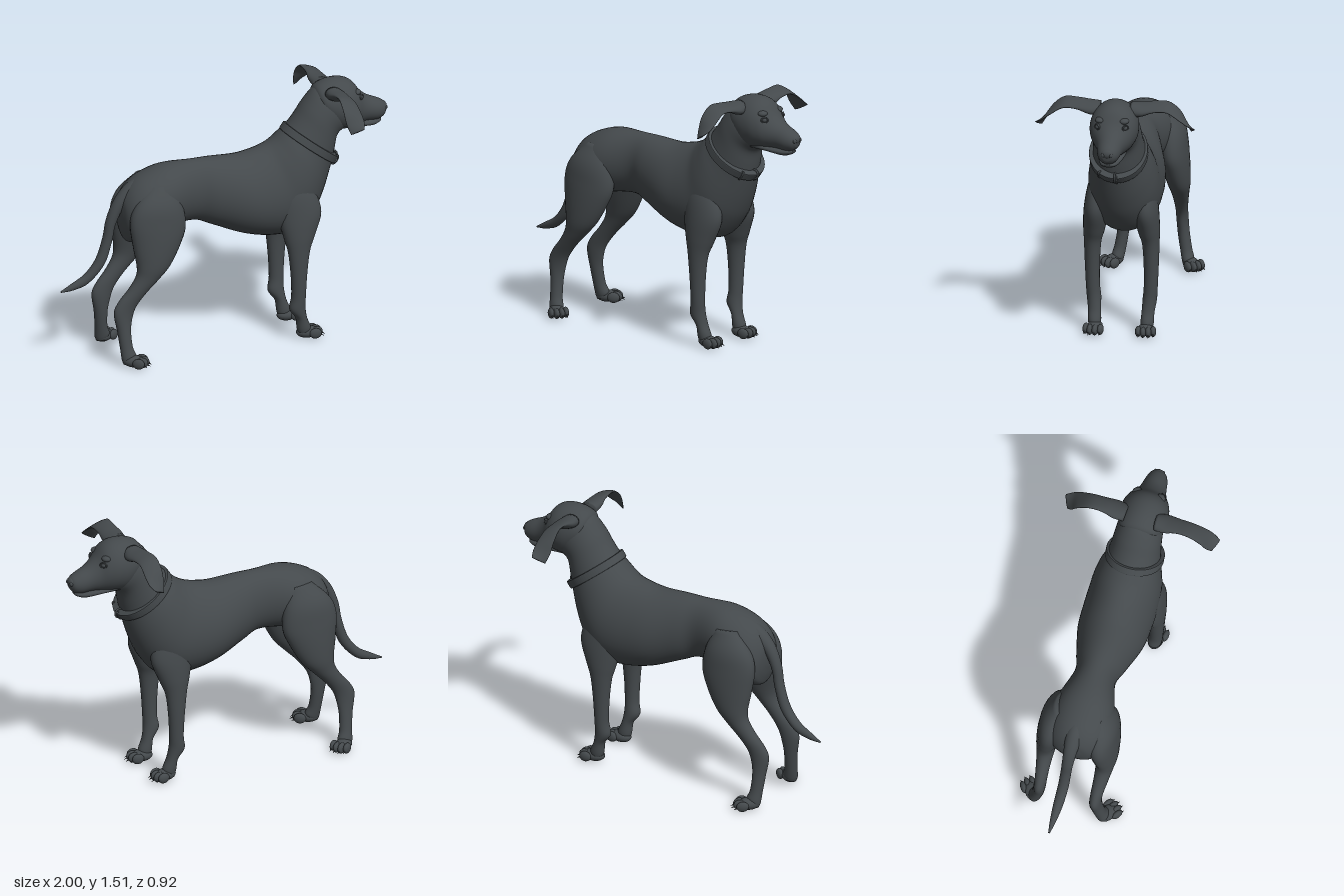
import * as THREE from 'three';

const coat = new THREE.MeshStandardMaterial({ color: 0x44494c });
coat.name = 'charcoal coat';

function mesh(name, geometry, parent) {
  const m = new THREE.Mesh(geometry, coat);
  m.name = name;
  parent.add(m);
  return m;
}

// Smooth skin through cross-sections. Each row is
// [upper x,y,z, lower x,y,z, half width, extra width low down].
function loft(rows, steps = 5, sides = 28) {
  const V = THREE.Vector3;
  const curve = (f) => new THREE.CatmullRomCurve3(rows.map(f), false, 'catmullrom', 0.5);
  const upper = curve((r) => new V(r[0], r[1], r[2]));
  const lower = curve((r) => new V(r[3], r[4], r[5]));
  const width = curve((r) => new V(r[6], r[7] || 0, 0));
  const count = (rows.length - 1) * steps;
  const mid = (u) => upper.getPoint(u).add(lower.getPoint(u)).multiplyScalar(0.5);
  const pos = [], index = [];
  for (let i = 0; i <= count; i++) {
    const u = i / count, c = mid(u);
    const up = upper.getPoint(u).sub(c);
    const along = mid(Math.min(1, u + 0.004)).sub(mid(Math.max(0, u - 0.004)));
    const side = along.cross(up).normalize();
    const w = width.getPoint(u);
    for (let j = 0; j < sides; j++) {
      const a = (j / sides) * Math.PI * 2, k = Math.cos(a);
      const p = c.clone().addScaledVector(up, k)
        .addScaledVector(side, w.x * Math.sin(a) * (1 - w.y * k));
      pos.push(p.x, p.y, p.z);
    }
  }
  for (let i = 0; i < count; i++) {
    for (let j = 0; j < sides; j++) {
      const a = i * sides + j, b = i * sides + (j + 1) % sides;
      index.push(a, b, a + sides, b, b + sides, a + sides);
    }
  }
  // end caps
  const c0 = mid(0), c1 = mid(1), n = pos.length / 3, last = count * sides;
  pos.push(c0.x, c0.y, c0.z, c1.x, c1.y, c1.z);
  for (let j = 0; j < sides; j++) {
    const k = (j + 1) % sides;
    index.push(n, k, j, n + 1, last + j, last + k);
  }
  const g = new THREE.BufferGeometry();
  g.setAttribute('position', new THREE.Float32BufferAttribute(pos, 3));
  g.setIndex(index);
  g.computeVertexNormals();
  return g;
}

// Rows lying in a side plane: [ux,uy, lx,ly, half width, z offset, low width]
const flat = (rows, zc, s = 1) => rows.map(([a, b, c, d, w, z = 0, e = 0]) =>
  [a, b, zc + s * z, c, d, zc + s * z, w, e]);

function ball(name, parent, p, r) {
  const m = mesh(name, new THREE.SphereGeometry(1, 18, 12), parent);
  m.position.set(...p);
  m.scale.set(...r);
  return m;
}

// Paw pointing along +x, with four toes and claws
function paw(name, parent, x, z, yaw, size) {
  const g = new THREE.Group();
  g.name = name;
  ball('pawPad', g, [-0.02, 0.035, 0], [0.065, 0.035, 0.045]);
  [-0.043, -0.015, 0.015, 0.043].forEach((tz) => {
    const tx = 0.04 - Math.abs(tz) * 0.5;
    ball('toe', g, [tx, 0.034, tz], [0.036, 0.031, 0.018]);
    const claw = mesh('claw', new THREE.ConeGeometry(0.007, 0.03, 8), g);
    claw.position.set(tx + 0.038, 0.022, tz);
    claw.rotation.z = -2.0;
  });
  g.position.set(x, 0, z);
  g.rotation.y = yaw;
  g.scale.set(size, 1, size);
  parent.add(g);
}

export function createModel() {
  const dog = new THREE.Group();
  dog.name = 'dog';

  // Trunk sweeping up into the neck
  mesh('bodyAndNeck', loft(flat([
    [-0.645, 0.90, -0.645, 0.82, 0.04], [-0.63, 0.97, -0.63, 0.74, 0.10],
    [-0.58, 1.04, -0.60, 0.69, 0.15], [-0.50, 1.09, -0.50, 0.70, 0.18],
    [-0.37, 1.128, -0.37, 0.75, 0.17], [-0.20, 1.13, -0.20, 0.765, 0.122],
    [-0.08, 1.128, -0.08, 0.72, 0.15, 0, 0.05], [0.08, 1.12, 0.10, 0.645, 0.195, 0, 0.1],
    [0.18, 1.135, 0.28, 0.608, 0.205, 0, 0.12], [0.25, 1.155, 0.44, 0.625, 0.205, 0, 0.1],
    [0.30, 1.18, 0.54, 0.73, 0.2, 0.003, 0.05], [0.345, 1.215, 0.60, 0.85, 0.183, 0.006],
    [0.39, 1.255, 0.645, 0.99, 0.156, 0.01], [0.44, 1.315, 0.665, 1.08, 0.145, 0.012],
    [0.49, 1.385, 0.685, 1.17, 0.138, 0.013], [0.56, 1.46, 0.74, 1.21, 0.128, 0.013],
    [0.63, 1.47, 0.78, 1.26, 0.10, 0.013],
  ], -0.025), 5, 40), dog);

  // Head
  const head = new THREE.Group();
  head.name = 'head';
  dog.add(head);
  const hz = -0.012;
  mesh('skullAndMuzzle', loft(flat([
    [0.545, 1.43, 0.56, 1.36, 0.06], [0.57, 1.475, 0.60, 1.27, 0.115],
    [0.64, 1.503, 0.67, 1.20, 0.138], [0.72, 1.503, 0.74, 1.20, 0.138],
    [0.78, 1.475, 0.79, 1.207, 0.12], [0.83, 1.412, 0.83, 1.213, 0.094],
    [0.88, 1.372, 0.87, 1.217, 0.076], [0.94, 1.345, 0.93, 1.215, 0.064],
    [0.98, 1.322, 0.968, 1.228, 0.048], [0.995, 1.295, 0.988, 1.25, 0.024],
  ], hz), 5, 36), head);
  mesh('lowerJaw', loft(flat([
    [0.70, 1.25, 0.70, 1.20, 0.08], [0.80, 1.245, 0.80, 1.198, 0.078],
    [0.90, 1.235, 0.90, 1.187, 0.056], [0.95, 1.228, 0.945, 1.198, 0.036],
    [0.965, 1.222, 0.96, 1.208, 0.016],
  ], hz)), head);
  ball('nose', head, [0.978, 1.292, hz], [0.022, 0.027, 0.036]);

  for (const s of [1, -1]) {
    const side = s > 0 ? 'left' : 'right';
    ball(side + 'Nostril', head, [0.988, 1.287, hz + s * 0.022], [0.011, 0.014, 0.012]);
    // Eye with lid and brow
    ball(side + 'Eye', head, [0.808, 1.393, hz + s * 0.077], [0.018, 0.015, 0.017]);
    const lid = mesh(side + 'Eyelid', new THREE.TorusGeometry(0.019, 0.005, 8, 20), head);
    lid.position.set(0.814, 1.393, hz + s * 0.082);
    lid.rotation.y = Math.PI / 2 - s * 0.75;
    lid.scale.y = 0.75;
    ball(side + 'Brow', head, [0.785, 1.425, hz + s * 0.068], [0.03, 0.018, 0.03]);

    // Ear, lifted outward with a drooping tip
    mesh(side + 'Ear', loft([
      [0.69, 1.43, 0.09, 0.585, 1.455, 0.09, 0.04], [0.70, 1.435, 0.15, 0.58, 1.465, 0.15, 0.032],
      [0.692, 1.45, 0.22, 0.59, 1.483, 0.22, 0.018], [0.69, 1.45, 0.30, 0.587, 1.485, 0.30, 0.011],
      [0.695, 1.41, 0.37, 0.585, 1.435, 0.365, 0.009], [0.692, 1.375, 0.42, 0.59, 1.37, 0.40, 0.008],
      [0.675, 1.352, 0.462, 0.605, 1.318, 0.43, 0.006],
    ].map(([a, b, c, d, e, f, w]) => [a, b, hz + s * c, d, e, hz + s * f, w])), head);

    // Front leg
    mesh(side + 'FrontLeg', loft(flat([
      [0.43, 1.0, 0.35, 1.01, 0.03, 0.115], [0.50, 0.89, 0.28, 0.89, 0.062, 0.13],
      [0.535, 0.76, 0.28, 0.74, 0.072, 0.143], [0.49, 0.63, 0.305, 0.62, 0.063, 0.158],
      [0.455, 0.54, 0.325, 0.54, 0.05, 0.168], [0.437, 0.40, 0.34, 0.40, 0.043, 0.17],
      [0.43, 0.27, 0.345, 0.27, 0.04, 0.167], [0.43, 0.20, 0.335, 0.19, 0.041, 0.161],
      [0.442, 0.13, 0.375, 0.13, 0.037, 0.155], [0.465, 0.075, 0.385, 0.06, 0.038, 0.152],
      [0.47, 0.03, 0.40, 0.015, 0.03, 0.15],
    ], -0.01, s)), dog);
    paw(side + 'FrontPaw', dog, 0.468, -0.01 + s * 0.15, -s * 0.1, 1);

    // Hind leg
    mesh(side + 'HindLeg', loft(flat([
      [-0.36, 1.03, -0.50, 1.04, 0.04, 0.11], [-0.31, 0.91, -0.60, 0.94, 0.08, 0.135],
      [-0.297, 0.79, -0.635, 0.84, 0.085, 0.148], [-0.335, 0.69, -0.622, 0.70, 0.078, 0.163],
      [-0.40, 0.58, -0.605, 0.59, 0.065, 0.175], [-0.47, 0.505, -0.612, 0.525, 0.052, 0.176],
      [-0.55, 0.425, -0.655, 0.455, 0.042, 0.172], [-0.61, 0.345, -0.715, 0.385, 0.035, 0.167],
      [-0.635, 0.27, -0.744, 0.32, 0.034, 0.167], [-0.645, 0.20, -0.727, 0.21, 0.034, 0.175],
      [-0.64, 0.11, -0.715, 0.11, 0.034, 0.19], [-0.622, 0.06, -0.71, 0.045, 0.036, 0.203],
      [-0.63, 0.03, -0.70, 0.015, 0.03, 0.205],
    ], -0.035, s)), dog);
    paw(side + 'HindPaw', dog, -0.63, -0.035 + s * 0.235, -s * 0.62, 1);
  }

  // Tail, from tip to root
  mesh('tail', loft(flat([
    [-1.0, 0.428, -0.998, 0.42, 0.005, -0.02], [-0.935, 0.464, -0.92, 0.427, 0.018, -0.018],
    [-0.85, 0.515, -0.83, 0.46, 0.028, -0.015], [-0.785, 0.60, -0.735, 0.565, 0.031, -0.01],
    [-0.745, 0.72, -0.69, 0.70, 0.031, -0.007], [-0.725, 0.83, -0.67, 0.80, 0.033, -0.003],
    [-0.68, 0.94, -0.62, 0.90, 0.04, 0], [-0.61, 1.025, -0.55, 0.95, 0.05, 0],
    [-0.53, 1.075, -0.49, 0.98, 0.05, 0],
  ], -0.03)), dog);

  // Collar: a tilted oval band with keeper loops and a ring
  const collar = new THREE.Group();
  collar.name = 'collar';
  collar.position.set(0.522, 1.132, -0.012);
  collar.setRotationFromMatrix(new THREE.Matrix4().makeBasis(
    new THREE.Vector3(0.8, -0.6, 0), new THREE.Vector3(0, 0, -1), new THREE.Vector3(0.6, 0.8, 0)));
  dog.add(collar);
  const band = new THREE.Shape().absellipse(0, 0, 0.19, 0.164, 0, Math.PI * 2);
  band.holes.push(new THREE.Path().absellipse(0, 0, 0.16, 0.13, 0, Math.PI * 2, true));
  mesh('collarBand', new THREE.ExtrudeGeometry(band, {
    depth: 0.036, bevelThickness: 0.006, bevelSize: 0.005, bevelSegments: 2, curveSegments: 40,
  }).translate(0, 0, -0.018), collar);
  for (const a of [0.05, -0.6]) {
    const loop = mesh('keeperLoop', new THREE.TorusGeometry(0.028, 0.006, 8, 20), collar);
    loop.position.set(0.187 * Math.cos(a), 0.162 * Math.sin(a), 0);
    loop.rotation.set(Math.PI / 2, a, 0, 'ZXY');
    loop.scale.x = 0.5;
  }
  const ring = mesh('collarRing', new THREE.TorusGeometry(0.027, 0.006, 8, 24), dog);
  ring.position.set(0.668, 1.032, -0.012);

  return dog;
}
